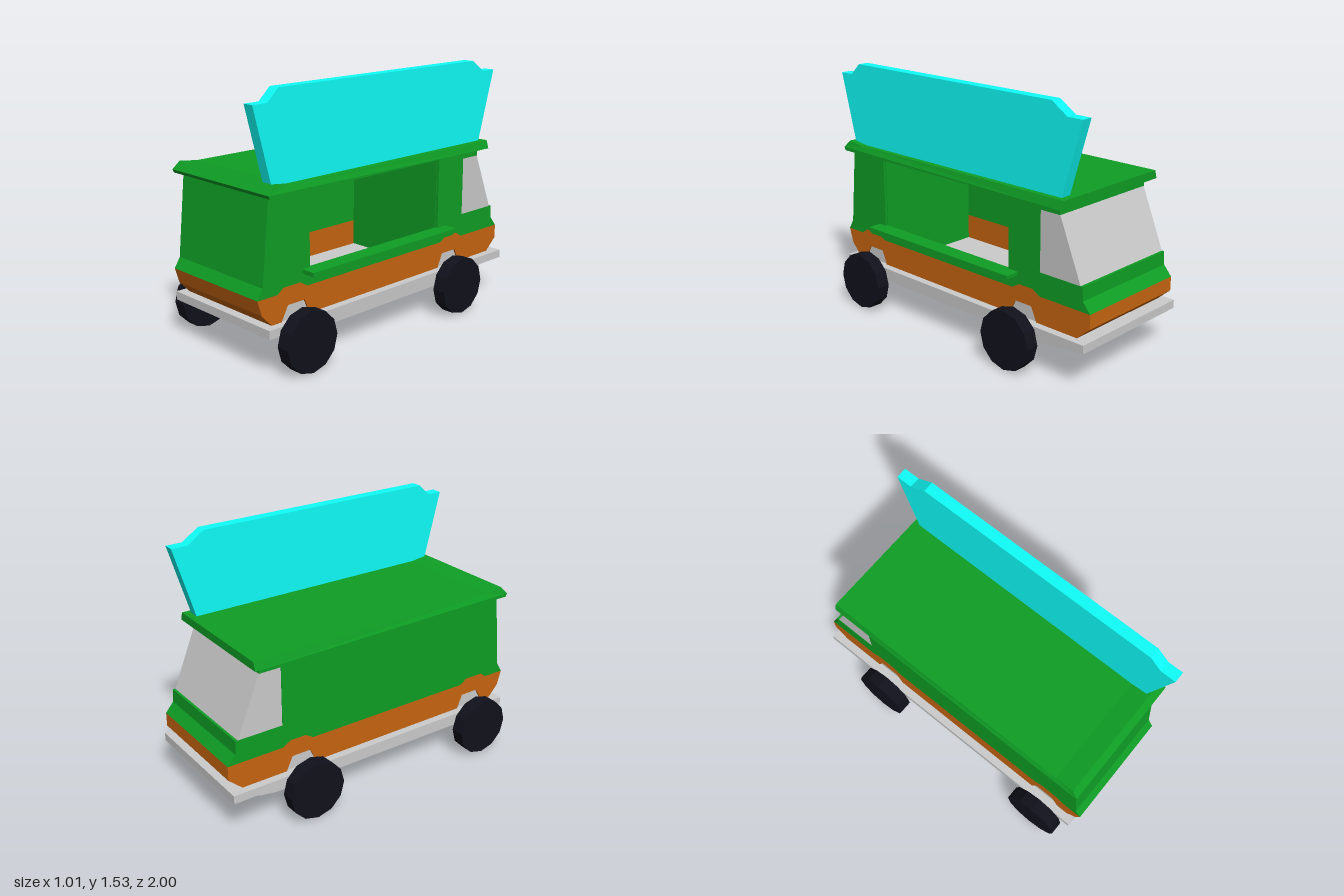
import * as THREE from 'three';

const paint = (color) => new THREE.MeshStandardMaterial({ color, flatShading: true });

export function createModel() {
  const model = new THREE.Group();
  const green = paint(0x0f9f25), orange = paint(0xc86610), cyan = paint(0x0ffffa);
  const black = paint(0x11111c), grey = paint(0xcccccc);

  const add = (name, geometry, material) => {
    const mesh = new THREE.Mesh(geometry, material);
    mesh.name = name;
    model.add(mesh);
    return mesh;
  };
  // Extrude a [z, y] side profile from x0 to x1
  const slab = (name, material, x0, x1, profile) => {
    const shape = new THREE.Shape(profile.map(([z, y]) => new THREE.Vector2(-z, y)));
    const g = new THREE.ExtrudeGeometry(shape, { depth: x1 - x0, bevelEnabled: false });
    return add(name, g.rotateY(Math.PI / 2).translate(x0, 0, 0), material);
  };
  const rect = (z0, z1, y0, y1) => [[z0, y0], [z0, y1], [z1, y1], [z1, y0]];

  const W = 0.367, T = 0.015;   // body half width, wall thickness
  const zA = 0.63, zB = -0.42;  // ends of the serving opening

  // Upper body: closed blocks at both ends of the serving room
  slab('tailBody', green, -W, W, [
    [zA, 0.98], [0.91, 0.98], [0.96, 0.5], [0.997, 0.44],
    [0.86, 0.44], [0.82, 0.47], [0.7, 0.47], [0.65, 0.44], [zA, 0.44],
  ]);
  slab('cabBody', green, -W, W, [
    [zB, 0.98], [-0.785, 0.98], [-0.785, 0.935], [-0.65, 0.935], [-0.65, 0.58],
    [-0.945, 0.58], [-0.95, 0.5], [-1, 0.44],
    [-0.65, 0.44], [-0.6, 0.47], [-0.5, 0.47], [-0.45, 0.44], [zB, 0.44],
  ]);
  slab('cabWindows', grey, -W + 0.002, W - 0.002,
    [[-0.65, 0.58], [-0.93, 0.58], [-0.785, 0.935], [-0.65, 0.935]]);

  // Room walls, open on the serving side
  slab('closedSideWall', green, -W, -W + T, rect(zB, zA, 0.44, 0.98));
  slab('servingSill', green, W - T, W, rect(zB, zA, 0.44, 0.52));
  slab('tailPartition', green, -W + T, W - T, rect(zA - 0.004, zA, 0.28, 0.98));
  slab('cabPartition', green, -W + T, W - T, rect(zB, zB + 0.004, 0.28, 0.98));
  slab('counter', green, W - T, 0.455, [
    [0.685, 0.54], [0.685, 0.52], [0.66, 0.505], [-0.46, 0.505], [-0.49, 0.52], [-0.49, 0.54],
  ]);

  // Lower body band with humps and arches over the wheels
  slab('tailBand', orange, -W, W, [
    [zA, 0.44], [0.65, 0.44], [0.7, 0.47], [0.82, 0.47], [0.86, 0.44], [0.997, 0.44],
    [0.97, 0.35], [0.905, 0.28], [0.835, 0.28], [0.79, 0.365], [0.67, 0.365], [0.635, 0.28], [zA, 0.28],
  ]);
  slab('cabBand', orange, -W, W, [
    [zB, 0.44], [-0.45, 0.44], [-0.5, 0.47], [-0.6, 0.47], [-0.65, 0.44], [-1, 0.44],
    [-1, 0.355], [-0.915, 0.28], [-0.63, 0.28], [-0.59, 0.365], [-0.47, 0.365], [-0.43, 0.28], [zB, 0.28],
  ]);
  for (const x of [-W, W - T]) slab('sideBand', orange, x, x + T, rect(zB, zA, 0.28, 0.44));
  for (const z of [0.735, -0.53]) {
    slab('wheelWell', grey, -W + 0.01, W - 0.01, rect(z - 0.098, z + 0.098, 0.27, 0.37));
  }

  // Chassis: a wide rim over a narrower tray
  slab('chassisRim', grey, -0.415, 0.415, rect(-0.997, 0.96, 0.23, 0.28));
  slab('chassisTray', grey, -W, W, [
    [0.94, 0.235], [0.78, 0.185], [0.68, 0.17], [-0.7, 0.17], [-0.8, 0.185], [-0.96, 0.235],
  ]);

  // Roof with sloped eaves and a raised tail lip
  const roof = slab('roof', green, -0.415, 0.415, [
    [0.94, 0.98], [0.95, 1.0], [0.91, 1.045], [0.79, 1.03], [-0.835, 1.03], [-0.835, 0.98],
  ]);
  const p = roof.geometry.attributes.position;
  for (let i = 0; i < p.count; i++) if (p.getY(i) > 1.01) p.setX(i, Math.sign(p.getX(i)) * 0.4);
  roof.geometry.computeVertexNormals();

  // Blank sign board along the serving side
  slab('signBoard', cyan, 0.3, W, [
    [0.885, 1.02], [1, 1.46], [0.905, 1.46], [0.83, 1.53],
    [-0.715, 1.53], [-0.82, 1.46], [-0.92, 1.46], [-0.79, 1.02],
  ]);

  // Wheels and axles
  for (const z of [0.735, -0.51]) {
    const axle = new THREE.CylinderGeometry(0.026, 0.026, 0.9, 10);
    add('axle', axle.rotateZ(Math.PI / 2).translate(0, 0.178, z), black);
    for (const side of [-1, 1]) {
      const wheel = new THREE.CylinderGeometry(0.177, 0.177, 0.083, 12);
      add('wheel', wheel.rotateZ(Math.PI / 2).translate(side * 0.462, 0.178, z), black);
    }
  }
  return model;
}
